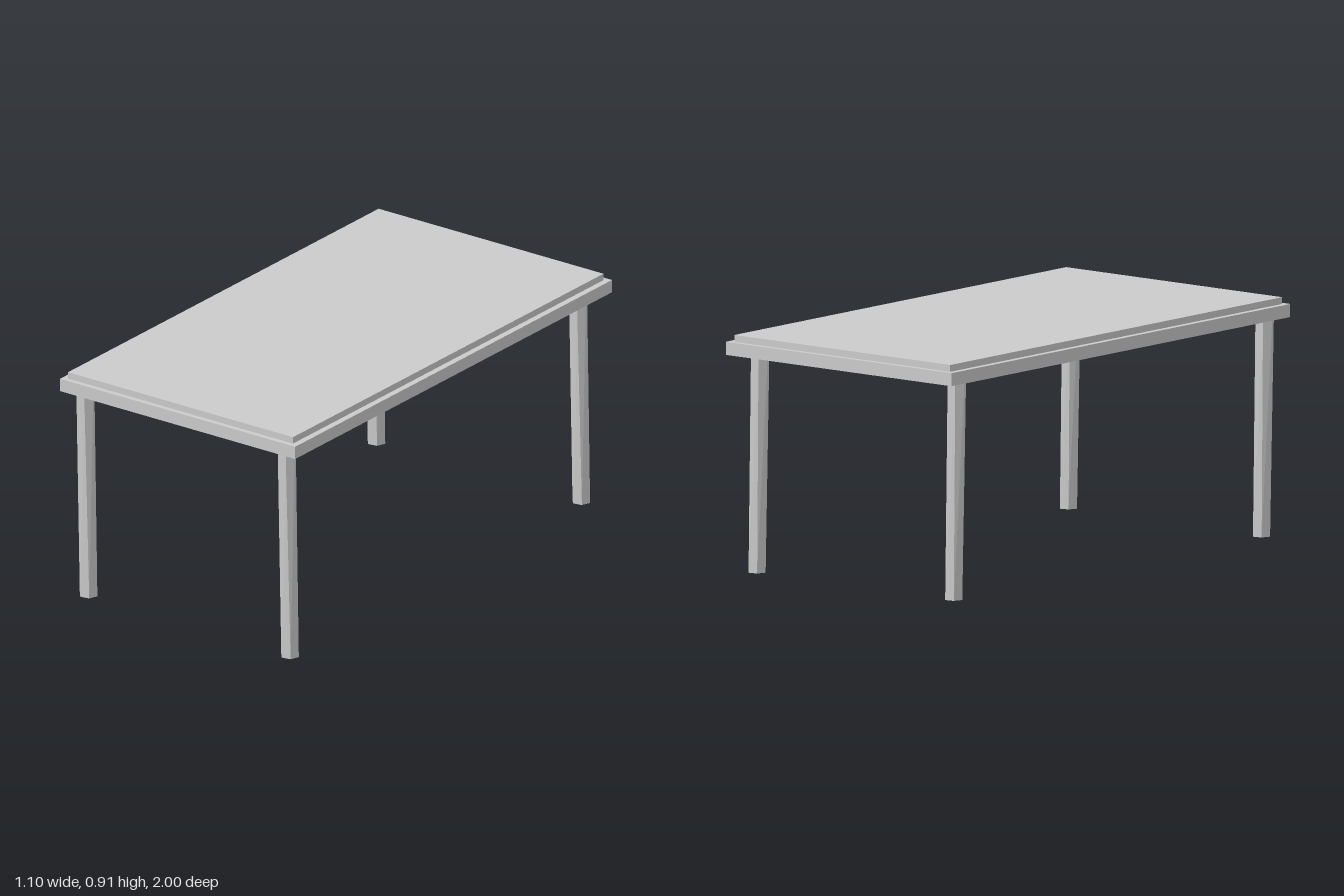
import * as THREE from 'three';

const material = new THREE.MeshStandardMaterial({ color: 0xcccccc, flatShading: true });

const LEG_HEIGHT = 0.835;
const LEG_RADIUS = 0.037;

function slab(name, width, depth, bottom, top, x = 0) {
  const mesh = new THREE.Mesh(new THREE.BoxGeometry(width, top - bottom, depth), material);
  mesh.name = name;
  mesh.position.set(x, (bottom + top) / 2, 0);
  return mesh;
}

// Six-sided leg that leans and twists slightly towards the top
function legGeometry() {
  const geometry = new THREE.CylinderGeometry(LEG_RADIUS, LEG_RADIUS, LEG_HEIGHT, 6);
  geometry.translate(0, LEG_HEIGHT / 2, 0);
  const p = geometry.attributes.position;
  const v = new THREE.Vector3();
  const up = new THREE.Vector3(0, 1, 0);
  for (let i = 0; i < p.count; i++) {
    v.fromBufferAttribute(p, i);
    const t = v.y / LEG_HEIGHT;
    // a corner starts 10 degrees behind +x at the foot
    v.applyAxisAngle(up, THREE.MathUtils.degToRad(-20 - 10 * t));
    v.x -= 0.015 * t;
    p.setXYZ(i, v.x, v.y, v.z);
  }
  geometry.computeVertexNormals();
  return geometry;
}

export function createModel() {
  const table = new THREE.Group();
  table.name = 'table';

  // Table top: wide base board with a thinner inset board on it
  table.add(slab('baseBoard', 1.1, 2, 0.834, 0.884));
  table.add(slab('topBoard', 1.052, 1.96, 0.884, 0.91, -0.001));

  // Legs, placed by the centre of the foot
  const geometry = legGeometry();
  const feet = [
    ['frontLeftLeg', 0.489, 0.95],
    ['frontRightLeg', -0.468, 0.93],
    ['backLeftLeg', 0.484, -0.895],
    ['backRightLeg', -0.474, -0.895],
  ];
  for (const [name, x, z] of feet) {
    const leg = new THREE.Mesh(geometry, material);
    leg.name = name;
    leg.position.set(x, 0, z);
    table.add(leg);
  }
  return table;
}
